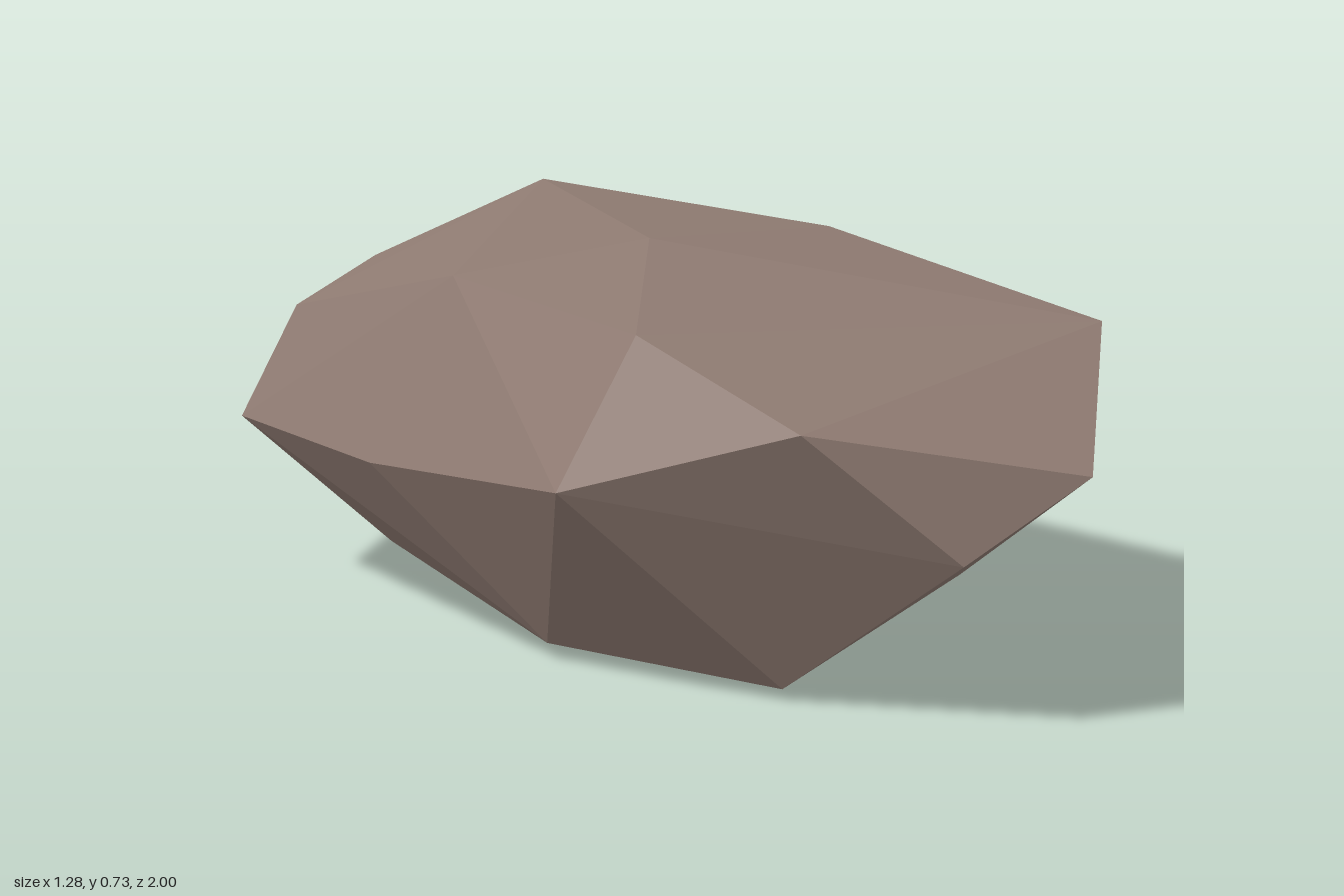
import * as THREE from 'three';
import { ConvexGeometry } from 'three/addons/geometries/ConvexGeometry.js';

// Corners of the boulder: x, y, z and an optional temporary bulge in y
// that makes a slightly dented corner take part in the hull.
const upper = [
  [-0.12, 0.725, -0.10, 0.07], [-0.47, 0.685, 0.37], [-0.45, 0.67, -0.25],
  [0.33, 0.67, -0.18], [0.42, 0.63, 0.57], [-0.40, 0.573, 0.80],
  [0.13, 0.66, -0.81], [-0.44, 0.51, -0.77],
];
const middle = [
  [0.11, 0.465, 0.995], [-0.14, 0.32, 0.945], [-0.64, 0.41, 0.36],
  [-0.60, 0.33, -0.30], [-0.54, 0.31, -0.80], [-0.36, 0.324, -0.96],
  [-0.11, 0.512, -1.0], [0.14, 0.33, -0.95], [0.42, 0.52, -0.65],
  [0.64, 0.448, 0.20],
];
const lower = [
  [0.08, 0.21, 0.61, -0.06], [-0.25, 0.022, 0.52], [0.51, 0.295, 0.04],
  [0.37, 0.175, -0.41], [0.06, 0.11, -0.75], [-0.06, 0, -0.37],
  [-0.42, 0.03, 0.01], [-0.34, 0.086, -0.61], [0.10, 0.11, 0.17, -0.16],
];

function boulderGeometry() {
  const corners = [...upper, ...middle, ...lower].map(([x, y, z, bulge = 0]) => ({
    hull: new THREE.Vector3(x, y + bulge, z),
    real: new THREE.Vector3(x, y, z),
  }));
  const geometry = new ConvexGeometry(corners.map((c) => c.hull));

  // Pull the bulged corners back to make shallow dents
  const position = geometry.attributes.position;
  const p = new THREE.Vector3();
  for (let i = 0; i < position.count; i++) {
    p.fromBufferAttribute(position, i);
    const corner = corners.find((c) => c.hull.distanceTo(p) < 0.001);
    if (corner) position.setXYZ(i, corner.real.x, corner.real.y, corner.real.z);
  }
  geometry.computeVertexNormals();
  return geometry;
}

export function createModel() {
  const stone = new THREE.MeshStandardMaterial({ color: 0x8f7b72, flatShading: true });
  stone.name = 'warm grey stone';

  const boulder = new THREE.Mesh(boulderGeometry(), stone);
  boulder.name = 'boulder';

  const group = new THREE.Group();
  group.name = 'rock';
  group.add(boulder);
  return group;
}
